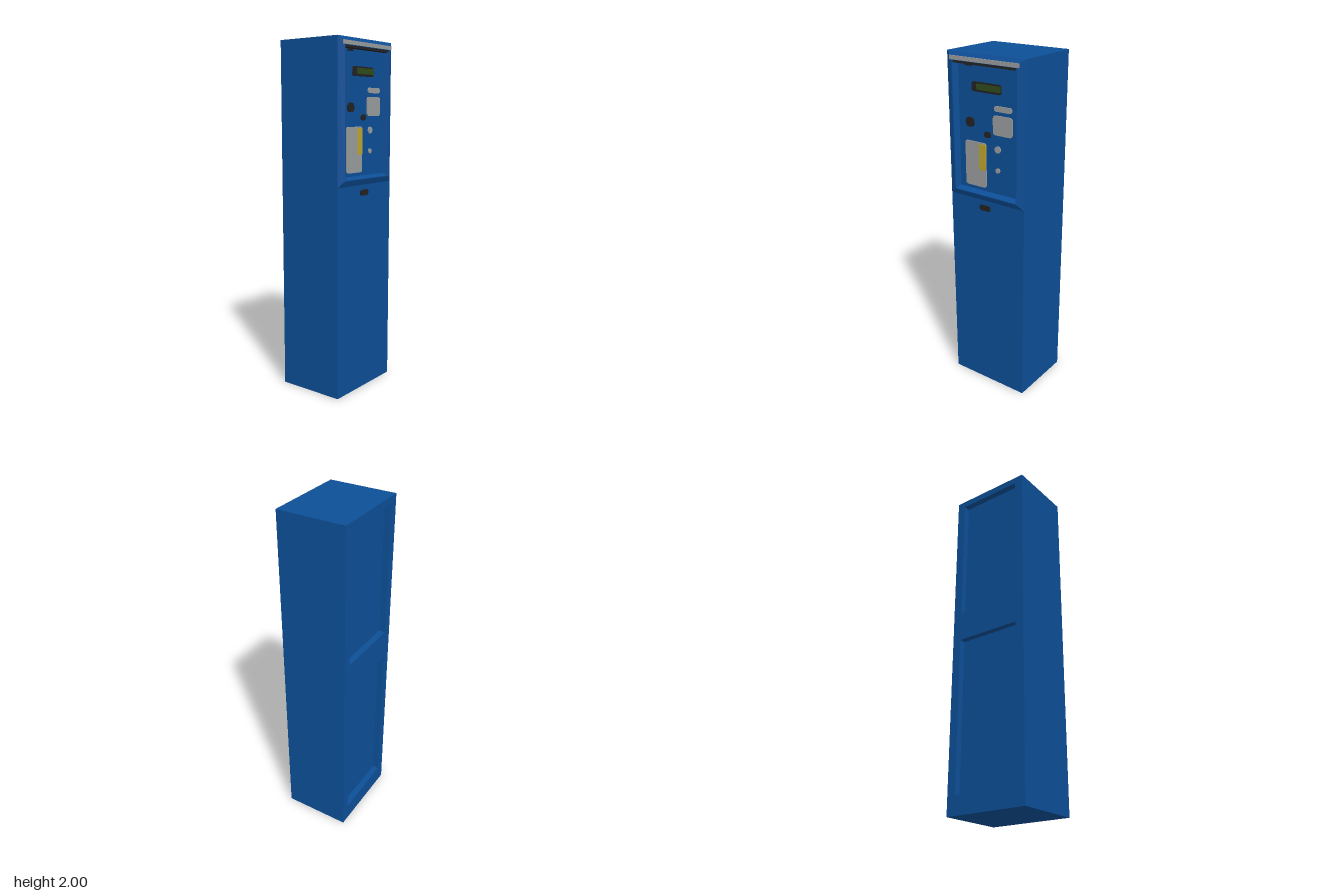
import * as THREE from 'three';

const mat = (name, color) => new THREE.MeshStandardMaterial({ name, color });

// Skin through rectangles [halfWidth, yBottom, yTop, z]; cap closes the last one towards +z
function loft(rects, cap) {
  const pos = [];
  const ring = ([w, y0, y1, z]) => [[-w, y0, z], [w, y0, z], [w, y1, z], [-w, y1, z]];
  const quad = (a, b, c, d) => pos.push(...a, ...b, ...c, ...a, ...c, ...d);
  for (let k = 0; k < rects.length - 1; k++) {
    const p = ring(rects[k]), q = ring(rects[k + 1]);
    for (let i = 0; i < 4; i++) {
      const j = (i + 1) % 4;
      quad(p[i], p[j], q[j], q[i]);
    }
  }
  if (cap) quad(...ring(rects[rects.length - 1]));
  const g = new THREE.BufferGeometry();
  g.setAttribute('position', new THREE.Float32BufferAttribute(pos, 3));
  g.computeVertexNormals();
  return g;
}

// Thin plate with rounded corners, its back at z = 0
function plate(x0, x1, y0, y1, r, depth) {
  const s = new THREE.Shape();
  s.moveTo(x0 + r, y0);
  s.lineTo(x1 - r, y0);
  s.absarc(x1 - r, y0 + r, r, -Math.PI / 2, 0);
  s.absarc(x1 - r, y1 - r, r, 0, Math.PI / 2);
  s.absarc(x0 + r, y1 - r, r, Math.PI / 2, Math.PI);
  s.absarc(x0 + r, y0 + r, r, Math.PI, Math.PI * 1.5);
  return new THREE.ExtrudeGeometry(s, { depth, bevelEnabled: false, curveSegments: 6 });
}

export function createModel() {
  const model = new THREE.Group();
  model.name = 'paymentKiosk';
  const blue = mat('cabinet blue', 0x0d4f98);
  const grey = mat('brushed grey', 0x999c9e);
  const black = mat('black plastic', 0x222224);
  const green = mat('display green', 0x2f4a1a);
  const yellow = mat('label yellow', 0xbfa52c);

  const add = (name, geometry, material, z = 0, parent = model) => {
    const m = new THREE.Mesh(geometry, material);
    m.name = name;
    m.position.z = z;
    parent.add(m);
    return m;
  };

  const W = 0.253, BACK = 0.21, FRONT = 0.19, FLOOR = 0.172;

  // Cabinet sides, top and bottom, then the plain lower front
  add('cabinetSides', loft([[W, 0, 2, -BACK], [W, 0, 2, FRONT]]), blue);
  add('lowerFront', loft([[W, 0, 1.2, FRONT]], true), blue);

  // Raised frame stepping back in to the control panel
  add('controlPanel', loft([
    [W, 1.2, 2, FRONT],
    [0.213, 1.233, 1.972, 0.208],
    [0.207, 1.238, 1.955, 0.208],
    [0.196, 1.25, 1.945, FLOOR],
  ], true), blue);

  // Back wall with two sunken service panels
  const back = new THREE.Group();
  back.name = 'backWall';
  back.rotation.y = Math.PI;
  model.add(back);
  const wall = new THREE.Shape([[-W, 0], [W, 0], [W, 2], [-W, 2]].map(p => new THREE.Vector2(...p)));
  for (const [y0, y1] of [[0.105, 1.01], [1.185, 1.96]]) {
    const w = 0.2;
    wall.holes.push(new THREE.Path([[-w, y0], [-w, y1], [w, y1], [w, y0]].map(p => new THREE.Vector2(...p))));
    add('servicePanel', loft([[w, y0, y1, BACK], [w, y0, y1, BACK - 0.037]], true), blue, 0, back);
  }
  add('backFrame', new THREE.ShapeGeometry(wall), blue, BACK, back);

  // Lamp bar and dark strip above the control panel
  const bar = add('lampBar', new THREE.BoxGeometry(0.45, 0.022, 0.016), grey, 0.202);
  bar.position.y = 1.968;
  const strip = add('lampShadowStrip', new THREE.BoxGeometry(0.405, 0.014, 0.034), black, 0.189);
  strip.position.y = 1.949;
  add('lampClip', plate(-0.145, -0.1, 1.93, 1.943, 0.005, 0.008), black, FLOOR);

  // Controls: name, x0, x1, y0, y1, corner radius, thickness, colour
  const controls = [
    ['displayHousing', -0.1, 0.092, 1.8, 1.852, 0.012, 0.008, black],
    ['displayScreen', -0.066, 0.09, 1.812, 1.844, 0.004, 0.011, green],
    ['cardSlot', 0.045, 0.16, 1.711, 1.741, 0.014, 0.006, grey],
    ['keypadPlate', 0.037, 0.164, 1.583, 1.69, 0.018, 0.006, grey],
    ['coinEntry', -0.146, -0.09, 1.604, 1.656, 0.022, 0.008, black],
    ['returnButton', -0.021, 0.021, 1.56, 1.592, 0.015, 0.008, black],
    ['instructionPlate', -0.154, -0.012, 1.27, 1.525, 0.014, 0.006, grey],
    ['instructionLabel', -0.058, -0.012, 1.37, 1.518, 0.006, 0.008, yellow],
    ['upperLock', 0.048, 0.086, 1.485, 1.523, 0.0185, 0.007, grey],
    ['lowerLock', 0.053, 0.081, 1.372, 1.4, 0.0135, 0.007, grey],
  ];
  for (const [name, x0, x1, y0, y1, r, depth, m] of controls) {
    add(name, plate(x0, x1, y0, y1, r, depth), m, FLOOR);
  }

  // Door handle on the lower front
  add('doorHandle', plate(-0.048, 0.026, 1.139, 1.172, 0.014, 0.006), black, FRONT);

  return model;
}
